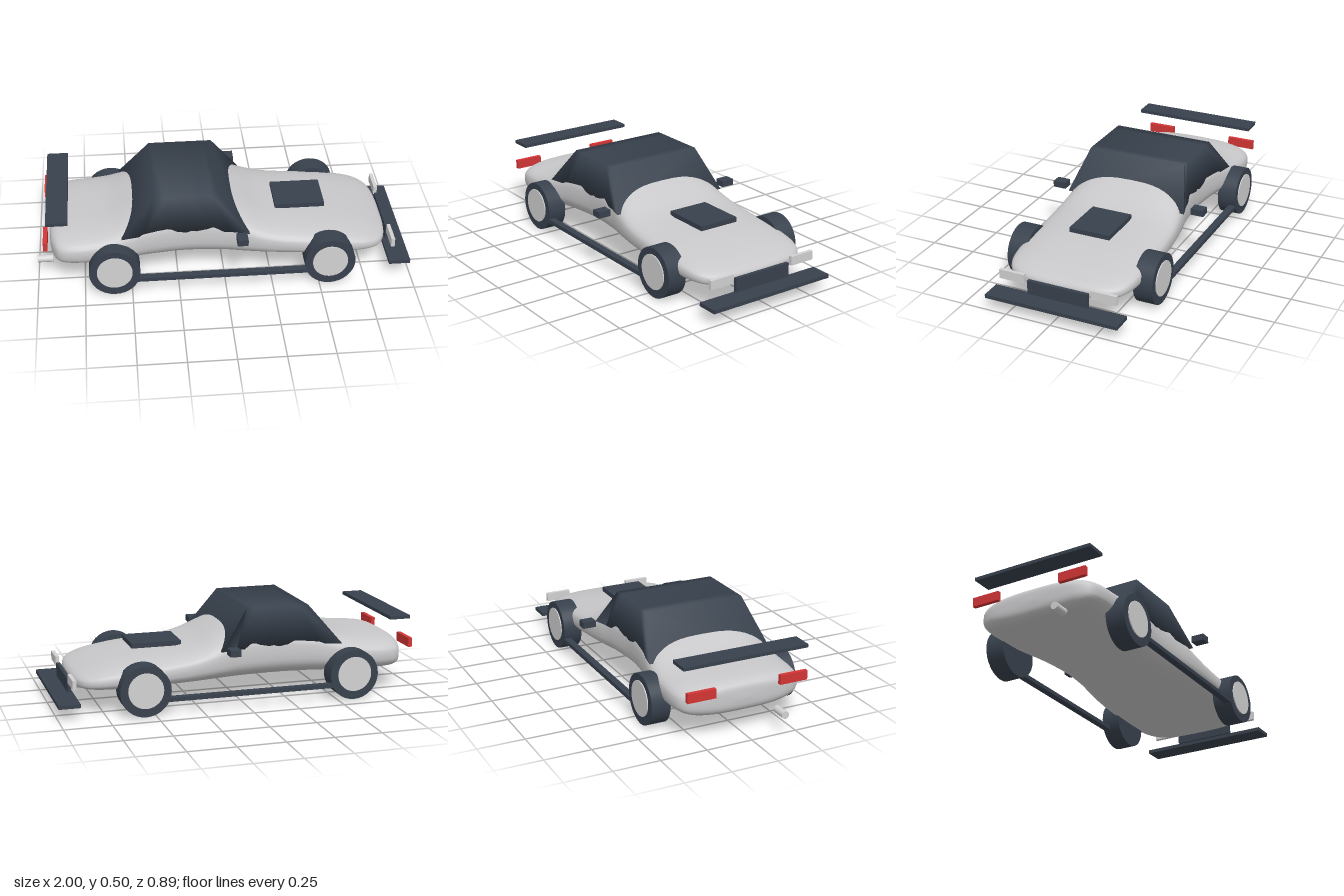
import * as THREE from 'three';

const mat = (name, color) => {
  const m = new THREE.MeshStandardMaterial({ color });
  m.name = name;
  return m;
};

// Skin a list of equal-length rings ([x, y, z] points), ordered along +x, with flat caps
function loft(rings) {
  const n = rings[0].length, idx = [];
  for (let i = 0; i < rings.length - 1; i++) {
    for (let j = 0; j < n; j++) {
      const a = i * n + j, b = i * n + (j + 1) % n;
      idx.push(a, a + n, b, b, a + n, b + n);
    }
  }
  const last = (rings.length - 1) * n;
  for (let j = 1; j < n - 1; j++) {
    idx.push(0, j, j + 1, last, last + j + 1, last + j);
  }
  const g = new THREE.BufferGeometry();
  g.setAttribute('position', new THREE.Float32BufferAttribute(rings.flat(2), 3));
  g.setIndex(idx);
  g.computeVertexNormals();
  return g;
}

// Body stations: x, bottom, top, half width, height of the widest line
const STATIONS = [
  [-0.93, 0.195, 0.215, 0.03, 0.205],
  [-0.924, 0.155, 0.26, 0.2, 0.205],
  [-0.905, 0.13, 0.28, 0.28, 0.205],
  [-0.87, 0.117, 0.292, 0.33, 0.205],
  [-0.8, 0.111, 0.3, 0.35, 0.21],
  [-0.7, 0.11, 0.307, 0.352, 0.215],
  [-0.6, 0.11, 0.328, 0.348, 0.22],
  [-0.5, 0.11, 0.368, 0.336, 0.235],
  [-0.4, 0.11, 0.402, 0.32, 0.25],
  [-0.2, 0.11, 0.42, 0.3, 0.255],
  [0, 0.11, 0.412, 0.315, 0.25],
  [0.1, 0.11, 0.375, 0.332, 0.24],
  [0.2, 0.11, 0.325, 0.344, 0.225],
  [0.3, 0.11, 0.297, 0.35, 0.21],
  [0.45, 0.11, 0.28, 0.355, 0.195],
  [0.6, 0.11, 0.264, 0.356, 0.185],
  [0.75, 0.113, 0.236, 0.342, 0.175],
  [0.83, 0.119, 0.212, 0.305, 0.165],
  [0.87, 0.126, 0.195, 0.24, 0.16],
  [0.887, 0.14, 0.178, 0.15, 0.16],
  [0.892, 0.153, 0.165, 0.03, 0.159],
];

function bodyGeometry() {
  const curve = (f) => new THREE.CatmullRomCurve3(
    STATIONS.map((s) => new THREE.Vector3(...f(s))), false, 'catmullrom');
  const heights = curve((s) => [s[0], s[1], s[2]]);
  const widths = curve((s) => [s[0], s[3], s[4]]);
  const steps = (STATIONS.length - 1) * 4, sides = 48, rings = [];
  const power = (v) => Math.sign(v) * Math.pow(Math.abs(v), 2 / 2.9);
  for (let i = 0; i <= steps; i++) {
    const h = heights.getPoint(i / steps), w = widths.getPoint(i / steps);
    const ring = [];
    for (let j = 0; j < sides; j++) {
      const a = (j / sides) * Math.PI * 2, s = power(Math.sin(a));
      const y = w.z + s * (s > 0 ? h.z - w.z : w.z - h.y);
      ring.push([h.x, y, w.y * power(Math.cos(a))]);
    }
    rings.push(ring);
  }
  return loft(rings);
}

// Cabin: straight tapered ends, sides pinched at the waist
function cabinGeometry() {
  const waist = [[0, 0.34], [0.17, 0.317], [0.36, 0.301], [0.55, 0.298], [0.73, 0.303], [0.87, 0.32], [1, 0.345]];
  return loft(waist.map(([t, w]) => {
    const xb = -0.545 + 0.675 * t, xt = -0.37 + 0.345 * t;
    return [[xb, 0.295, w], [xt, 0.506, 0.28], [xt, 0.506, -0.28], [xb, 0.295, -w]];
  }));
}

export function createModel() {
  const paint = mat('silver paint', 0xc8c8ca);
  const dark = mat('dark trim', 0x38414d);
  const lamp = mat('pale lamp and metal', 0xd2d2d2);
  const red = mat('red lamp', 0xd43535);

  const car = new THREE.Group();
  car.name = 'car';
  const add = (name, geo, material, x = 0, y = 0, z = 0) => {
    const m = new THREE.Mesh(geo, material);
    m.name = name;
    m.position.set(x, y, z);
    car.add(m);
    return m;
  };
  // Box given by its limits on each axis
  const box = (name, material, x0, x1, y0, y1, z0, z1) =>
    add(name, new THREE.BoxGeometry(x1 - x0, y1 - y0, z1 - z0), material,
      (x0 + x1) / 2, (y0 + y1) / 2, (z0 + z1) / 2);
  const pair = (name, material, x0, x1, y0, y1, z0, z1) => {
    box(name + 'Left', material, x0, x1, y0, y1, -z1, -z0);
    box(name + 'Right', material, x0, x1, y0, y1, z0, z1);
  };

  add('body', bodyGeometry(), paint);
  add('cabin', cabinGeometry(), dark);

  // Wheels
  const tyre = new THREE.CylinderGeometry(0.135, 0.135, 0.105, 32).rotateX(Math.PI / 2);
  const hub = new THREE.CylinderGeometry(0.094, 0.094, 0.11, 32).rotateX(Math.PI / 2);
  for (const x of [-0.59, 0.555]) {
    for (const side of [-1, 1]) {
      add('tyre', tyre, dark, x, 0.136, side * 0.362);
      add('hub', hub, lamp, x, 0.141, side * 0.365);
    }
  }

  // Trim
  box('hoodScoop', dark, 0.29, 0.56, 0.292, 0.318, -0.114, 0.114);
  box('spoiler', dark, -0.935, -0.82, 0.408, 0.426, -0.347, 0.347);
  box('splitter', dark, 0.885, 1, 0.067, 0.087, -0.37, 0.37);
  box('grille', dark, 0.898, 0.918, 0.097, 0.172, -0.169, 0.169);
  pair('sideSkirt', dark, -0.5, 0.47, 0.072, 0.094, 0.375, 0.413);
  pair('mirror', dark, 0.055, 0.112, 0.292, 0.327, 0.375, 0.447);

  // Lamps and exhaust
  pair('headlight', lamp, 0.898, 0.918, 0.151, 0.2, 0.187, 0.328);
  pair('taillight', red, -0.957, -0.935, 0.245, 0.295, 0.18, 0.335);
  add('exhaust', new THREE.CylinderGeometry(0.02, 0.02, 0.085, 20).rotateZ(Math.PI / 2),
    lamp, -0.957, 0.096, 0.19);

  return car;
}
